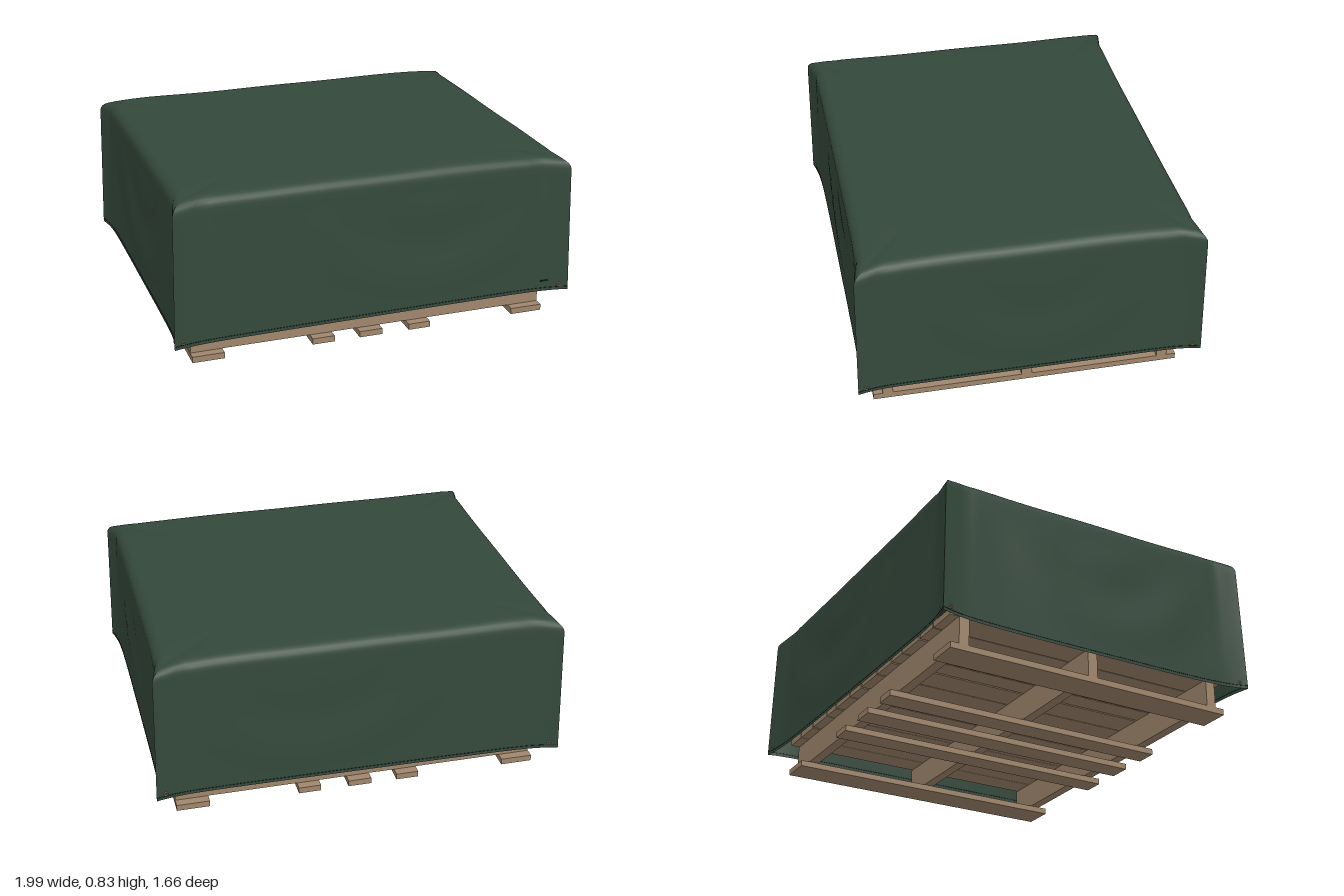
import * as THREE from 'three';
import { toCreasedNormals } from 'three/addons/utils/BufferGeometryUtils.js';

const tarpGreen = new THREE.MeshStandardMaterial({ color: 0x34483b, side: THREE.DoubleSide });
tarpGreen.name = 'tarp green';
const wood = new THREE.MeshStandardMaterial({ color: 0xa0866c });
wood.name = 'pallet wood';
const dark = new THREE.MeshStandardMaterial({ color: 0x18211b });
dark.name = 'dark stitching';

const SIDES = [t => [t, 1], t => [1, -t], t => [-t, -1], t => [-1, t]];
const NORMALS = [[0, 1], [1, 0], [0, -1], [-1, 0]];
const SWAG = [0.3, 0.05, -0.25, 0.1]; // where each side's drape hangs from
const RADIUS = 0.055, SHOULDER = 0.777;

// point on the cloth wall: side, t along it (-1..1), v up it (0..1), arc angle over the shoulder
function clothPoint(side, t, v, angle) {
  const [px, pz] = SIDES[side](t), [nx, nz] = NORMALS[side];
  const corner = Math.pow(Math.abs(t), 14), broad = t * t * t * t;
  const hem = 0.128 + 0.008 * px - 0.008 * (1 - broad) * Math.abs(nx);
  const fade = Math.cos(angle);
  const inset = RADIUS * (1 - fade);
  const lean = 0.014 * (1 - v);
  let x = px * (0.946 + lean - inset), z = pz * (0.786 + lean * 0.8 - inset);
  // pinched corners flare outwards
  const flare = (corner * 0.024 + broad * 0.008) * (0.25 + 0.75 * fade);
  x += Math.sign(px) * flare * Math.abs(px);
  z += Math.sign(pz) * flare * Math.abs(pz);
  // soft hanging folds, like nested swags
  const d = Math.hypot(t - SWAG[side], (1 - v) * 0.75);
  const fold = (1 - broad) * fade * Math.sin(Math.PI * Math.min(1, v * 1.1))
    * 0.007 * Math.sin(d * 13) * Math.exp(-d * 0.9);
  const pleat = 0.006 * Math.exp(-Math.pow((Math.abs(t) - 0.88) / 0.035, 2)) * fade * v;
  x += nx * (fold - pleat);
  z += nz * (fold - pleat);
  const y = hem + (SHOULDER - hem) * v + RADIUS * Math.sin(angle) - 0.014 * corner * v;
  return [x, y, z];
}

function tarpGeometry() {
  const perSide = 44, count = perSide * 4, pos = [], index = [];
  const rows = [];
  for (let j = 0; j <= 22; j++) rows.push({ v: j / 22, a: 0, k: 1 });
  for (let j = 1; j <= 6; j++) rows.push({ v: 1, a: j / 6 * Math.PI / 2, k: 1 });
  for (let j = 1; j <= 14; j++) rows.push({ v: 1, a: Math.PI / 2, k: 1 - j / 14 });
  for (const { v, a, k } of rows) {
    for (let i = 0; i < count; i++) {
      const t = Math.sin((i % perSide / perSide - 0.5) * Math.PI);
      let [x, y, z] = clothPoint(Math.floor(i / perSide), t, v, a);
      x *= k; z *= k;
      // flat top with slight ripples
      y = 0.832 + (y - 0.832) * Math.pow(k, 6);
      y += 0.003 * Math.sin(a) * Math.sin(x * 7 + z * 3) * Math.cos(z * 6 - x * 2);
      pos.push(x, y, z);
    }
  }
  for (let j = 0; j < rows.length - 1; j++) {
    for (let i = 0; i < count; i++) {
      const n = (i + 1) % count;
      const a = j * count + i, b = j * count + n, c = b + count, d = a + count;
      index.push(a, b, c);
      if (j < rows.length - 2) index.push(a, c, d);
    }
  }
  const g = new THREE.BufferGeometry();
  g.setAttribute('position', new THREE.Float32BufferAttribute(pos, 3));
  g.setIndex(index);
  return toCreasedNormals(g, 0.8);
}

export function createModel() {
  const model = new THREE.Group();
  const pallet = new THREE.Group();
  pallet.name = 'pallet';
  const add = (parent, name, geometry, material, x, y, z) => {
    const m = new THREE.Mesh(geometry, material);
    m.name = name;
    m.position.set(x, y, z);
    parent.add(m);
    return m;
  };
  const plank = (name, w, h, d, x, y, z) =>
    add(pallet, name, new THREE.BoxGeometry(w, h, d), wood, x, y, z);

  // skids on the ground, running front to back
  [[-0.815, 0.155], [-0.25, 0.11], [-0.01, 0.115], [0.24, 0.11], [0.81, 0.16]]
    .forEach(([x, w]) => plank('bottomBoard', w, 0.03, 1.49, x, 0.018, 0.005));
  // three stringers on edge
  [0.68, 0.005, -0.67].forEach(z => plank('stringer', 1.78, 0.135, 0.05, 0, 0.1005, z));
  // deck boards
  const widths = [0.16, 0.13, 0.17, 0.11, 0.15, 0.17, 0.13, 0.16, 0.11, 0.17, 0.15, 0.13];
  let edge = -0.89;
  const scale = 1.78 / widths.reduce((s, w) => s + w, 0);
  widths.forEach((w, i) => {
    const full = w * scale;
    plank('deckBoard', full - 0.007, 0.03, 1.49, edge + full / 2, 0.183 + 0.002 * (i % 2), 0.005);
    edge += full;
  });
  model.add(pallet);

  // draped cover
  const cover = new THREE.Group();
  cover.name = 'cover';
  add(cover, 'tarp', tarpGeometry(), tarpGreen, 0, 0, 0);

  // hem seam and an eyelet near both ends of each side
  SIDES.forEach((_, side) => {
    const seam = [], [nx, nz] = NORMALS[side];
    for (let i = 0; i <= 40; i++) {
      const p = clothPoint(side, Math.sin((i / 40 - 0.5) * Math.PI), 0.025, 0);
      seam.push(new THREE.Vector3(...p));
    }
    add(cover, 'hemSeam', new THREE.TubeGeometry(new THREE.CatmullRomCurve3(seam), 80, 0.0016, 5),
      dark, 0, 0, 0);
    [-0.965, 0.965].forEach(t => {
      const [x, y, z] = clothPoint(side, t, 0.045, 0);
      const ring = add(cover, 'eyelet', new THREE.TorusGeometry(0.008, 0.003, 8, 18), wood,
        x + nx * 0.002, y, z + nz * 0.002);
      ring.rotation.y = Math.atan2(nx, nz);
    });
  });
  // small stitched tab on the front
  const [tx, ty, tz] = clothPoint(0, 0.9, 0.085, 0);
  add(cover, 'stitchedTab', new THREE.BoxGeometry(0.045, 0.006, 0.006), dark, tx, ty, tz + 0.002);
  model.add(cover);
  return model;
}
